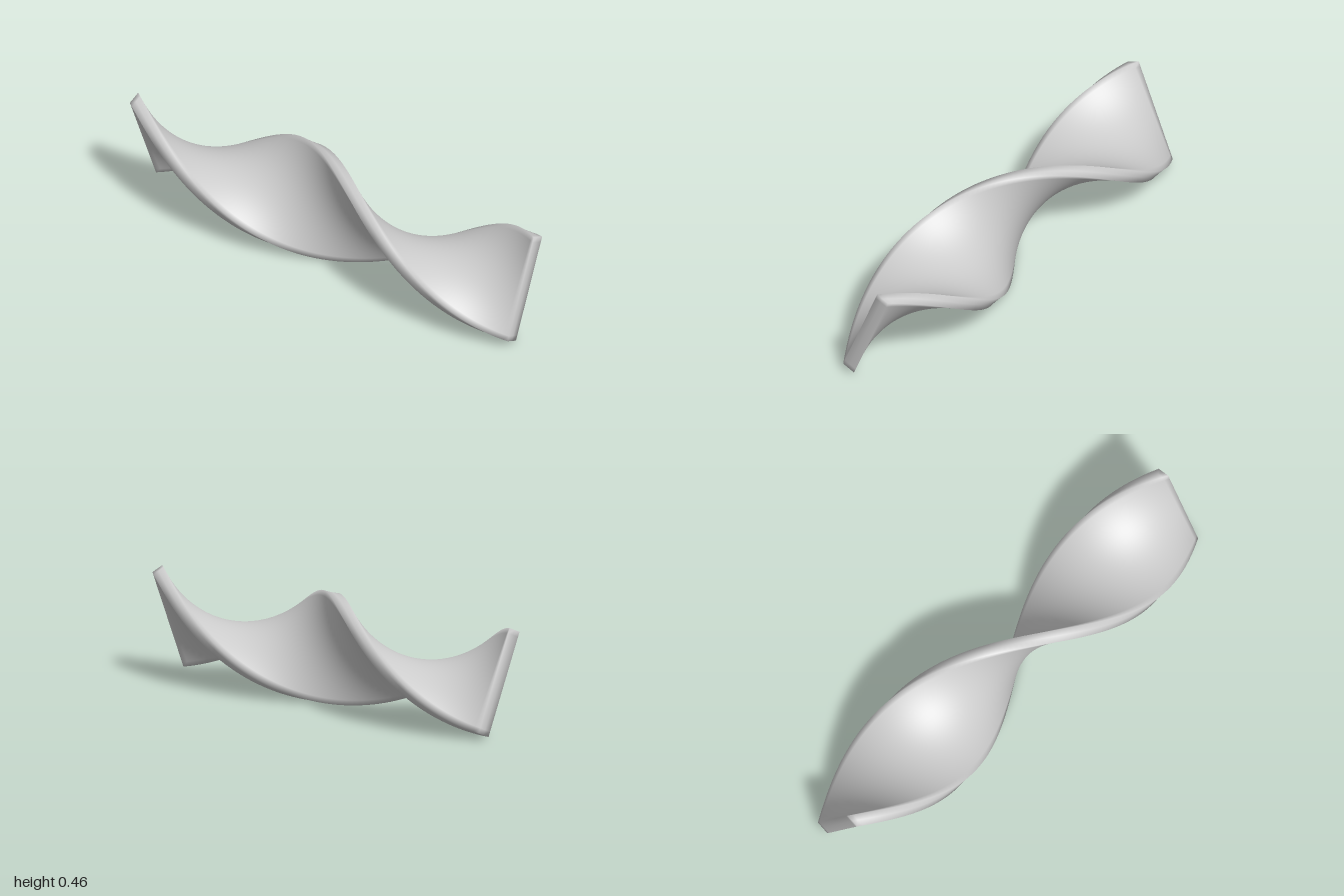
import * as THREE from 'three';
import { mergeVertices } from 'three/addons/utils/BufferGeometryUtils.js';

const LENGTH = 2, WIDTH = 0.456, THICKNESS = 0.06, AXIS_HEIGHT = 0.23;
const TWIST = THREE.MathUtils.degToRad(315); // total turn from end to end

// Turn each cross-section about the x axis in proportion to its x position.
function twistAboutX(geometry, turn, length) {
  const p = geometry.attributes.position;
  const v = new THREE.Vector3();
  const axis = new THREE.Vector3(1, 0, 0);
  for (let i = 0; i < p.count; i++) {
    v.fromBufferAttribute(p, i);
    v.applyAxisAngle(axis, (v.x / length) * turn);
    p.setXYZ(i, v.x, v.y, v.z);
  }
}

export function createModel() {
  const group = new THREE.Group();
  group.name = 'twistedBar';

  // Flat bar, finely divided, with shared corners so the edges shade softly
  let bar = new THREE.BoxGeometry(LENGTH, WIDTH, THICKNESS, 100, 20, 2);
  bar.deleteAttribute('normal');
  bar.deleteAttribute('uv');
  bar = mergeVertices(bar);
  twistAboutX(bar, TWIST, LENGTH);
  bar.translate(0, AXIS_HEIGHT, 0);
  bar.computeVertexNormals();

  const mesh = new THREE.Mesh(bar, new THREE.MeshStandardMaterial({ color: 0xcccccc }));
  mesh.name = 'bar';
  group.add(mesh);
  return group;
}
